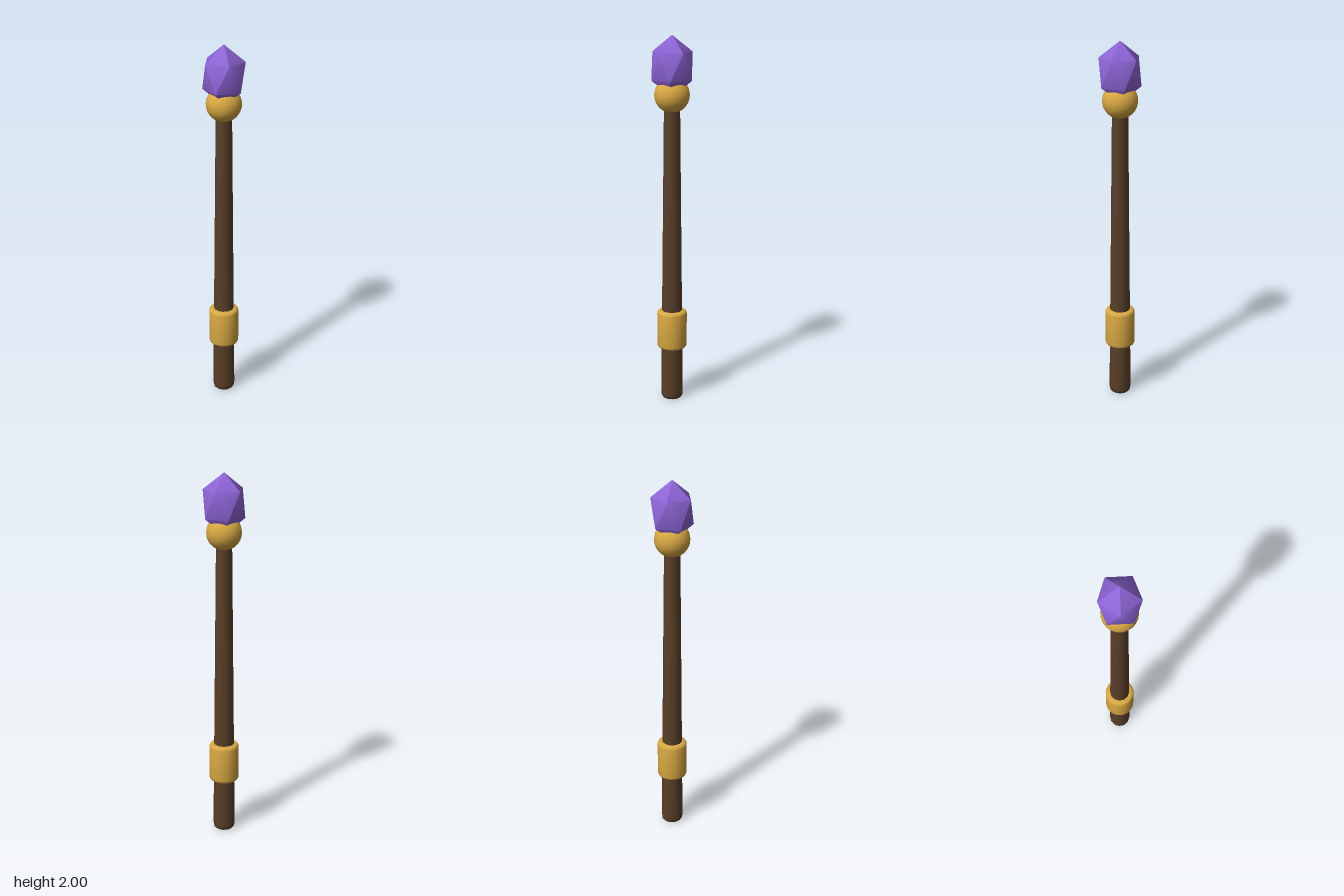
import * as THREE from 'three';
import { toCreasedNormals } from 'three/addons/utils/BufferGeometryUtils.js';

export function createModel() {
  const staff = new THREE.Group();
  staff.name = 'staff';

  const material = (name, color) => {
    const m = new THREE.MeshStandardMaterial({ color });
    m.name = name;
    return m;
  };
  const wood = material('dark wood', 0x5b4029);
  const gold = material('gold', 0xd8a843);
  const purple = material('purple crystal', 0x8f66d9);

  const add = (name, geometry, mat, y = 0) => {
    const mesh = new THREE.Mesh(geometry, mat);
    mesh.name = name;
    mesh.position.y = y;
    staff.add(mesh);
  };
  const lathe = (points, sides) => toCreasedNormals(
    new THREE.LatheGeometry(points.map(([r, y]) => new THREE.Vector2(r, y)), sides), 0.7);

  // Tapered shaft with a small bevel at the foot
  add('shaft', lathe([
    [0, 0], [0.05, 0], [0.057, 0.008], [0.06, 0.03], [0.042, 1.66], [0, 1.66],
  ], 12), wood);

  // Grip collar with rounded rims
  const half = 0.1075, radius = 0.081, bevel = 0.018;
  const profile = [[0.04, -half]];
  for (const side of [-1, 1]) {
    for (let i = 0; i <= 4; i++) {
      const a = side * (side < 0 ? 4 - i : i) / 4 * Math.PI / 2;
      profile.push([radius - bevel + bevel * Math.cos(a), side * (half - bevel) + bevel * Math.sin(a)]);
    }
  }
  profile.push([0.04, half]);
  add('gripCollar', lathe(profile, 24), gold, 0.4025);

  // Round mount under the crystal
  add('crystalMount', new THREE.SphereGeometry(0.093, 24, 16), gold, 1.69);

  // Crystal: two points joined by a pair of staggered five-sided rings
  const vertices = [0, 0.16, 0];
  for (const [y, turn] of [[0.072, 0], [-0.072, Math.PI / 5]]) {
    for (let i = 0; i < 5; i++) {
      const a = turn + i * Math.PI * 2 / 5;
      vertices.push(0.11 * Math.cos(a), y, 0.11 * Math.sin(a));
    }
  }
  vertices.push(0, -0.16, 0);
  const faces = [];
  for (let i = 0; i < 5; i++) {
    const j = (i + 1) % 5;
    const [u, uNext, l, lNext] = [1 + i, 1 + j, 6 + i, 6 + j];
    faces.push(0, uNext, u, u, uNext, l, uNext, lNext, l, 11, l, lNext);
  }
  const crystal = new THREE.BufferGeometry();
  crystal.setAttribute('position', new THREE.Float32BufferAttribute(vertices, 3));
  crystal.setIndex(faces);
  add('crystal', toCreasedNormals(crystal, 0.76), purple, 1.84);

  return staff;
}
